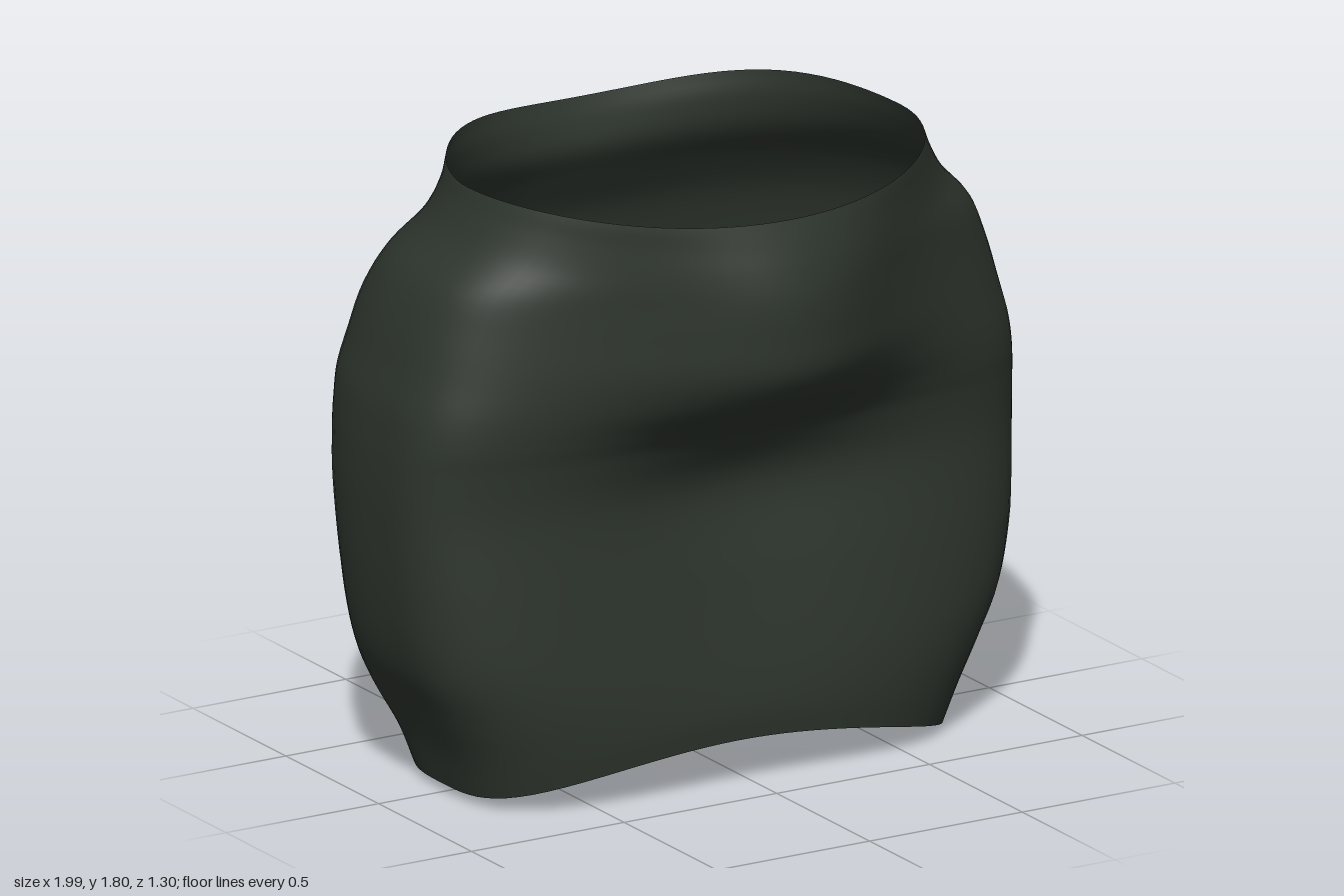
import * as THREE from 'three';

// Cross-sections from the waist opening down to the hem:
// y, half width, front depth, front squareness, belly bulge, back depth, back squareness, front lift, back lift, back hollow
const SECTIONS = [
  [1.768, 0.71, 0.57, 2.0, 0, 0.53, 2.0, -0.058, 0, 0],
  [1.70, 0.735, 0.50, 2.2, 0.10, 0.50, 2.1, -0.055, 0, 0],
  [1.62, 0.78, 0.45, 2.4, 0.18, 0.50, 2.3, -0.05, 0, 0.01],
  [1.52, 0.87, 0.41, 2.6, 0.24, 0.56, 2.5, -0.03, 0, 0.02],
  [1.40, 0.92, 0.40, 2.7, 0.255, 0.62, 2.7, -0.01, 0, 0.02],
  [1.27, 0.955, 0.395, 2.9, 0.25, 0.65, 2.8, 0, 0, 0.025],
  [1.17, 0.98, 0.39, 3.1, 0.18, 0.66, 2.9, 0, 0, 0.025],
  [1.08, 0.99, 0.38, 3.3, 0.065, 0.665, 2.9, 0, 0, 0.025],
  [1.00, 0.995, 0.37, 3.3, -0.01, 0.665, 2.9, 0, 0, 0.025],
  [0.85, 0.995, 0.365, 3.3, -0.075, 0.66, 2.9, 0, 0.02, 0.025],
  [0.60, 0.98, 0.385, 3.4, -0.05, 0.62, 2.9, 0.01, 0.08, 0.03],
  [0.40, 0.94, 0.40, 3.5, -0.03, 0.57, 3.1, 0.03, 0.15, 0.045],
  [0.25, 0.87, 0.41, 3.5, -0.02, 0.525, 3.5, 0.06, 0.19, 0.06],
  [0.12, 0.81, 0.41, 3.4, -0.01, 0.45, 3.3, 0.09, 0.19, 0.04],
  [0.00, 0.77, 0.405, 3.2, -0.01, 0.41, 3.1, 0.125, 0.18, 0.025],
];
const ROWS = 70;
const SIDES = 96;

function createTube() {
  const size = SECTIONS[0].length;
  const spline = new THREE.CubicInterpolant(
    SECTIONS.map((_, i) => i), SECTIONS.flat(), size, new Float32Array(size));
  const positions = [];
  const indices = [];

  for (let r = 0; r <= ROWS; r++) {
    const [y, width, front, nFront, bulge, back, nBack, liftFront, liftBack, hollow] =
      spline.evaluate((r / ROWS) * (SECTIONS.length - 1));
    // The back of the waist opening rises beside the spine
    const rimRise = 0.033 * Math.max(0, 1 - r / 12);
    // The hem leans slightly to one side
    const lean = Math.max(0, 1 - y / 0.6);
    for (let s = 0; s < SIDES; s++) {
      const angle = (s / SIDES) * Math.PI * 2;
      const isFront = s <= SIDES / 2;
      const n = isFront ? nFront : nBack;
      const cosine = Math.cos(angle);
      const sine = Math.sin(angle);
      // Superellipse outline in polar form
      const radius = (Math.abs(cosine) ** n + Math.abs(sine) ** n) ** (-1 / n);
      const x = width * cosine * radius;
      let z = (isFront ? front : back) * sine * radius;
      const inward = Math.max(0, 1 - (x / width) ** 2);
      const soften = Math.min(1, Math.abs(sine) * 2);
      let lift = 0.012 * lean * (1 - x / width);
      if (isFront) {
        // Belly bulge
        z += bulge * Math.exp(-((x / 0.42) ** 2)) * soften;
        lift += liftFront * inward;
      } else {
        // Hollow along the spine and under the seat
        z += hollow * Math.exp(-((x / 0.3) ** 2)) * soften;
        lift += liftBack * inward ** 1.4 + rimRise * Math.sin(2 * angle) ** 2;
      }
      positions.push(x - 0.02 * lean, y + lift, z);

      if (r < ROWS) {
        const next = (s + 1) % SIDES;
        const a = r * SIDES + s, b = r * SIDES + next;
        const c = a + SIDES, d = b + SIDES;
        indices.push(a, b, c, b, d, c);
      }
    }
  }
  const geometry = new THREE.BufferGeometry();
  geometry.setAttribute('position', new THREE.Float32BufferAttribute(positions, 3));
  geometry.setIndex(indices);
  geometry.computeVertexNormals();
  return geometry;
}

export function createModel() {
  const fabric = new THREE.MeshStandardMaterial({ color: 0x2d342d, side: THREE.DoubleSide });
  fabric.name = 'darkGreenFabric';

  // Open fabric tube covering the waist and hips
  const tube = new THREE.Mesh(createTube(), fabric);
  tube.name = 'fabricTube';

  const group = new THREE.Group();
  group.name = 'waistGarment';
  group.add(tube);
  return group;
}
